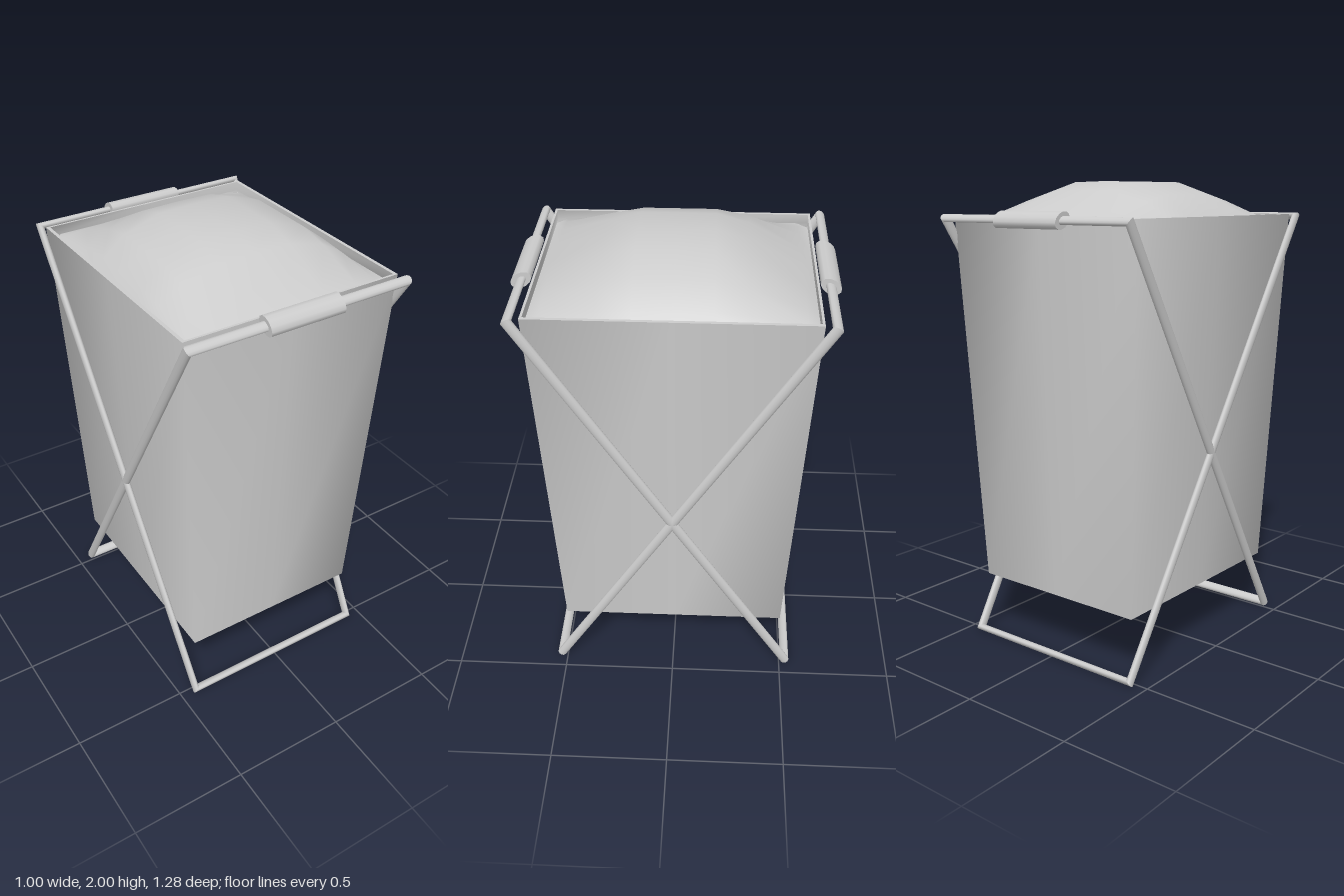
import * as THREE from 'three';

const grey = new THREE.MeshStandardMaterial({ color: 0xcccccc, side: THREE.DoubleSide });

function makeMesh(name, points, index) {
  const g = new THREE.BufferGeometry();
  g.setAttribute('position', new THREE.Float32BufferAttribute(points, 3));
  g.setIndex(index);
  g.computeVertexNormals();
  const mesh = new THREE.Mesh(g, grey);
  mesh.name = name;
  return mesh;
}

// Joins two rectangular loops [halfX, y, halfZ], two panels to each side
function rectBand(name, low, high) {
  const ring = [[1, 1], [1, 0], [1, -1], [0, -1], [-1, -1], [-1, 0], [-1, 1], [0, 1]];
  const points = [], index = [], n = ring.length;
  for (const [hx, y, hz] of [low, high])
    for (const [x, z] of ring) points.push(x * hx, y, z * hz);
  for (let i = 0; i < n; i++) {
    const j = (i + 1) % n;
    index.push(i, j, n + j, i, n + j, n + i);
  }
  return makeMesh(name, points, index);
}

// Rounded heap of laundry on a grid with clipped corners
function makeLaundry() {
  const halfX = [[0, 1], [0.16, 0.98], [0.32, 0.69], [0.42, 0.27], [0.465, 0]];
  const halfZ = [[0, 1], [0.153, 1], [0.286, 0.79], [0.5, 0.15], [0.545, 0]];
  const mirror = (h) => [...h.slice(1).reverse().map(([p, f]) => [-p, f]), ...h];
  const xs = mirror(halfX), zs = mirror(halfZ), n = xs.length;
  const points = [], index = [];
  zs.forEach(([z, fz], j) => xs.forEach(([x, fx], i) => {
    const corner = (i === 0 || i === n - 1) && (j === 0 || j === n - 1);
    const cut = corner ? 0.0225 : 0;
    points.push(x - Math.sign(x) * cut, 1.82 + 0.18 * fx * fz, z - Math.sign(z) * cut);
  }));
  for (let j = 0; j < n - 1; j++) for (let i = 0; i < n - 1; i++) {
    const a = j * n + i, b = a + 1, c = a + n, d = c + 1;
    index.push(a, c, b, b, c, d);
  }
  return makeMesh('laundry', points, index);
}

// Mitred oval tube around a four-cornered loop lying in the XY plane
function makeTubeLoop(corners, inPlane, normal) {
  const group = new THREE.Group(), sides = 12;
  group.name = 'tubeFrame';
  const at = (i) => corners[(i + 4) % 4];
  const outward = (i) => {
    const d = at(i + 1).clone().sub(at(i)).normalize();
    return new THREE.Vector2(d.y, -d.x);
  };
  const mitre = (i) => {
    const a = outward(i - 1), b = outward(i);
    return a.clone().add(b).divideScalar(1 + a.dot(b));
  };
  const names = ['bottomBar', 'leftLeg', 'topBar', 'rightLeg'];
  names.forEach((name, i) => {
    const points = [], index = [];
    for (const k of [i, i + 1]) {
      const c = at(k), m = mitre(k);
      for (let s = 0; s < sides; s++) {
        const t = (s / sides) * Math.PI * 2, r = inPlane * Math.cos(t);
        points.push(c.x + m.x * r, c.y + m.y * r, normal * Math.sin(t));
      }
    }
    for (let s = 0; s < sides; s++) {
      const q = (s + 1) % sides;
      index.push(s, sides + q, q, s, sides + s, sides + q);
    }
    // Keep the outside facing out
    for (let k = 0; k < index.length; k += 3) [index[k + 1], index[k + 2]] = [index[k + 2], index[k + 1]];
    group.add(makeMesh(name, points, index));
  });
  return group;
}

// One leaning frame with its grip
function makeFrame(name) {
  const rise = 1.8335, run = 1.125, length = Math.hypot(rise, run);
  const tilted = new THREE.Group();
  const V = (x, y) => new THREE.Vector2(x, y);
  tilted.add(makeTubeLoop([V(-0.43, 0), V(0.43, 0), V(0.487, length), V(-0.487, length)], 0.014, 0.022));
  const grip = new THREE.Mesh(new THREE.CylinderGeometry(1, 1, 0.33, 12), grey);
  grip.name = 'handle';
  grip.rotation.z = Math.PI / 2;
  grip.scale.set(0.03, 1, 0.0457);
  grip.position.y = length;
  tilted.add(grip);
  tilted.rotation.x = -Math.atan2(run, rise);
  tilted.position.set(0, 0.0165, 0.525);
  const frame = new THREE.Group();
  frame.name = name;
  frame.add(tilted);
  return frame;
}

export function createModel() {
  const model = new THREE.Group();
  model.name = 'laundryHamper';

  // Fabric bag with a thin rim and flat base
  const bag = new THREE.Group();
  bag.name = 'bag';
  bag.add(rectBand('bagSides', [0.41, 0.27, 0.49], [0.48, 1.86, 0.555]));
  bag.add(rectBand('bagRim', [0.48, 1.86, 0.555], [0.465, 1.86, 0.545]));
  bag.add(rectBand('bagLining', [0.465, 1.86, 0.545], [0.465, 1.82, 0.545]));
  const base = new THREE.Mesh(new THREE.PlaneGeometry(0.82, 0.98), grey);
  base.name = 'bagBase';
  base.rotation.x = Math.PI / 2;
  base.position.y = 0.27;
  bag.add(base);
  model.add(bag, makeLaundry());

  // Crossed frames
  const first = makeFrame('frontFootFrame');
  const second = makeFrame('backFootFrame');
  second.rotation.y = Math.PI;
  model.add(first, second);
  return model;
}
